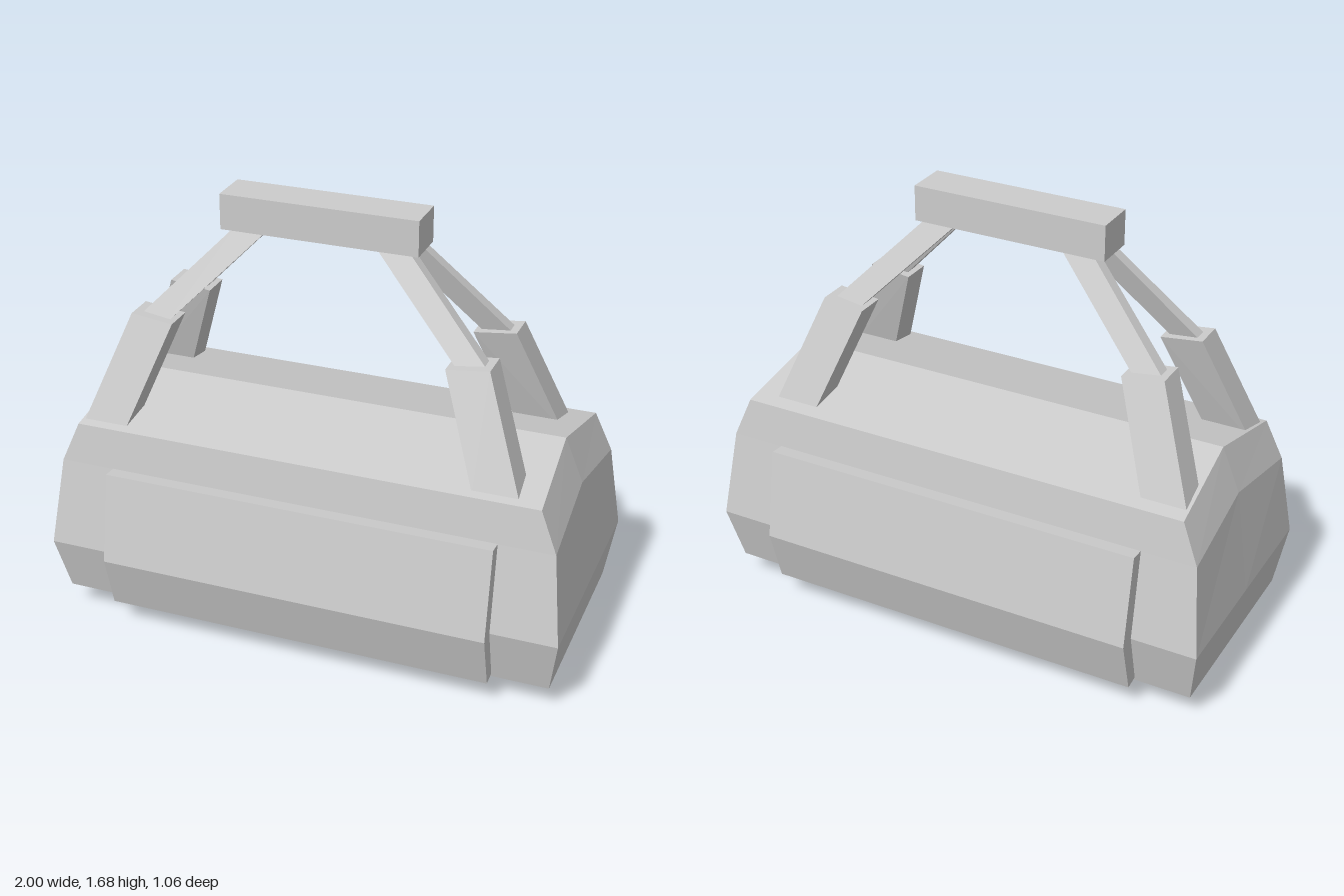
import * as THREE from 'three';

const grey = new THREE.MeshStandardMaterial({ color: 0xcccccc, flatShading: true });

// Closed solid through rings of points stacked upwards (each ring runs +x along its front).
function loft(name, rings, flip = false) {
  const pos = [];
  const v = (p) => new THREE.Vector3(...p);
  const tri = (a, b, c) => {
    const area = v(b).sub(v(a)).cross(v(c).sub(v(a))).length();
    if (area < 1e-6) return;
    pos.push(...a, ...(flip ? c : b), ...(flip ? b : c));
  };
  const n = rings[0].length;
  for (let i = 0; i < rings.length - 1; i++) {
    for (let j = 0; j < n; j++) {
      const k = (j + 1) % n;
      tri(rings[i][j], rings[i][k], rings[i + 1][k]);
      tri(rings[i][j], rings[i + 1][k], rings[i + 1][j]);
    }
  }
  const top = rings[rings.length - 1];
  const bottom = rings[0];
  for (let j = 1; j < n - 1; j++) {
    tri(top[0], top[j], top[j + 1]);
    tri(bottom[0], bottom[j + 1], bottom[j]);
  }
  const geo = new THREE.BufferGeometry();
  geo.setAttribute('position', new THREE.Float32BufferAttribute(pos, 3));
  geo.computeVertexNormals();
  const mesh = new THREE.Mesh(geo, grey);
  mesh.name = name;
  return mesh;
}

// Bag ring: four corners plus a middle point on each end.
const bagRing = (x, y, z, midX = x, midY = y) => [
  [-x, y, z], [x, y, z], [midX, midY, 0],
  [x, y, -z], [-x, y, -z], [-midX, midY, 0],
];

// Four-sided strap ring; the inner side may sit at another height.
const strapRing = (sx, sz, xIn, xOut, zIn, zOut, yIn, yOut) => [
  [sx * xIn, yIn, sz * zOut], [sx * xOut, yOut, sz * zOut],
  [sx * xOut, yOut, sz * zIn], [sx * xIn, yIn, sz * zIn],
];

export function createModel() {
  const model = new THREE.Group();
  model.name = 'duffelBag';

  // Faceted bag with a ridged top
  model.add(loft('bagBody', [
    bagRing(0.84, 0, 0.28),
    bagRing(0.965, 0.09, 0.41),
    bagRing(1.0, 0.31, 0.465),
    bagRing(0.96, 0.65, 0.41, 0.945, 0.72),
    bagRing(0.895, 0.805, 0.39, 0.875, 0.89),
    bagRing(0.875, 0.89, 0),
  ]));

  // Raised pockets on the front and back
  const pocketRing = (yIn, yOut, zOut) => [
    [-0.75, yOut, zOut], [0.75, yOut, zOut], [0.75, yIn, 0.37], [-0.75, yIn, 0.37],
  ];
  for (const side of ['front', 'back']) {
    const pocket = loft(side + 'Pocket', [
      pocketRing(0.11, 0.095, 0.467),
      pocketRing(0.31, 0.31, 0.528),
      pocketRing(0.648, 0.655, 0.467),
    ]);
    if (side === 'back') pocket.rotation.y = Math.PI;
    model.add(pocket);
  }

  // Carrying handle: four two-part straps meeting in one grip, set slightly off centre
  const handle = new THREE.Group();
  handle.name = 'handle';
  handle.position.set(-0.04, 0, 0.009);
  for (const sx of [1, -1]) {
    for (const sz of [1, -1]) {
      const where = (sz > 0 ? 'front' : 'back') + (sx > 0 ? 'Left' : 'Right');
      const flip = sx * sz < 0;
      handle.add(loft(where + 'LowerStrap', [
        strapRing(sx, sz, 0.675, 0.847, 0.23, 0.35, 0.8, 0.8),
        strapRing(sx, sz, 0.525, 0.687, 0.108, 0.225, 1.2, 1.22),
      ], flip));
      handle.add(loft(where + 'UpperStrap', [
        strapRing(sx, sz, 0.56, 0.682, 0.143, 0.195, 1.19, 1.19),
        strapRing(sx, sz, 0.2, 0.325, 0.025, 0.067, 1.56, 1.56),
      ], flip));
    }
  }
  const grip = new THREE.Mesh(new THREE.BoxGeometry(0.755, 0.135, 0.162), grey);
  grip.name = 'grip';
  grip.position.set(-0.006, 1.608, 0);
  handle.add(grip);
  model.add(handle);

  return model;
}
